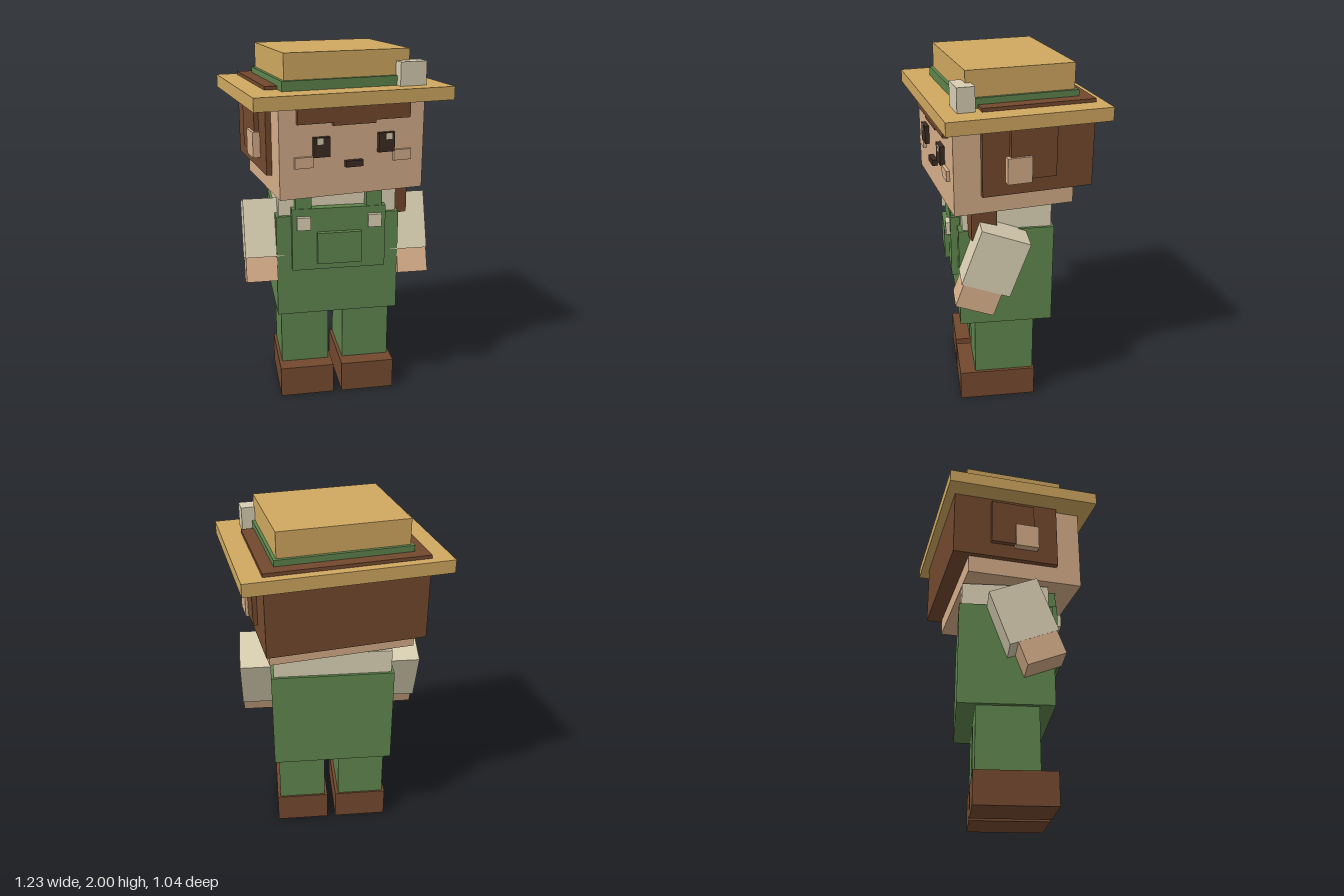
import * as THREE from 'three';

const mat = (name, color) => {
  const m = new THREE.MeshStandardMaterial({ color });
  m.name = name;
  return m;
};

export function createModel() {
  const straw = mat('straw', 0xd0a860);
  const green = mat('green cloth', 0x5e844d);
  const brown = mat('brown', 0x73492e);
  const skin = mat('skin', 0xd6ae8a);
  const cream = mat('cream cloth', 0xd8ceb1);
  const dark = mat('dark', 0x3d2c24);

  // Box given by its [min, max] range along each axis
  const box = (parent, name, material, [x0, x1], [y0, y1], [z0, z1]) => {
    const mesh = new THREE.Mesh(new THREE.BoxGeometry(x1 - x0, y1 - y0, z1 - z0), material);
    mesh.position.set((x0 + x1) / 2, (y0 + y1) / 2, (z0 + z1) / 2);
    mesh.name = name;
    parent.add(mesh);
    return mesh;
  };
  // Same box on both sides of x = 0
  const pair = (parent, name, material, [x0, x1], y, z) => {
    box(parent, name + 'Left', material, [x0, x1], y, z);
    box(parent, name + 'Right', material, [-x1, -x0], y, z);
  };

  const model = new THREE.Group();
  model.name = 'farmer';

  // Legs and shoes
  const legs = new THREE.Group();
  legs.name = 'legs';
  pair(legs, 'shoe', brown, [0.025, 0.335], [0, 0.18], [-0.17, 0.27]);
  pair(legs, 'trouserLeg', green, [0.043, 0.318], [0.18, 0.54], [-0.16, 0.18]);
  model.add(legs);

  // Torso with overalls
  const torso = new THREE.Group();
  torso.name = 'torso';
  box(torso, 'overalls', green, [-0.343, 0.343], [0.53, 1.115], [-0.26, 0.263]);
  box(torso, 'shirt', cream, [-0.328, 0.328], [1.1, 1.25], [-0.245, 0.242]);
  box(torso, 'bib', green, [-0.26, 0.26], [0.81, 1.165], [0.25, 0.3]);
  box(torso, 'pocket', green, [-0.123, 0.123], [0.85, 1.03], [0.295, 0.327]);
  pair(torso, 'strap', green, [0.152, 0.239], [1.1, 1.262], [0.235, 0.295]);
  pair(torso, 'button', cream, [0.16, 0.234], [1.05, 1.122], [0.295, 0.324]);
  model.add(torso);

  // Arms, swung forward
  for (const side of [1, -1]) {
    const arm = new THREE.Group();
    arm.name = side > 0 ? 'armLeft' : 'armRight';
    arm.position.set(side * 0.4275, 0.992, 0.077);
    arm.rotation.x = THREE.MathUtils.degToRad(-20);
    const inner = side * -0.127, outer = side * 0.0875;
    box(arm, 'sleeve', cream, [Math.min(inner, outer), Math.max(inner, outer)], [-0.163, 0.163], [-0.135, 0.14]);
    box(arm, 'hand', skin, [-0.0865, 0.0865], [-0.298, -0.15], [-0.088, 0.129]);
    model.add(arm);
  }

  // Head, turned slightly to its left
  const head = new THREE.Group();
  head.name = 'head';
  head.rotation.y = THREE.MathUtils.degToRad(10);
  box(head, 'face', skin, [-0.404, 0.404], [1.26, 1.78], [-0.29, 0.365]);
  box(head, 'hair', brown, [-0.434, 0.434], [1.36, 1.83], [-0.383, 0.221]);
  box(head, 'fringe', brown, [-0.312, 0.312], [1.655, 1.78], [0.34, 0.392]);
  box(head, 'fringeTip', brown, [-0.118, 0.118], [1.638, 1.7], [0.34, 0.389]);
  pair(head, 'sideHair', brown, [0.42, 0.459], [1.445, 1.71], [-0.171, 0.078]);
  pair(head, 'ear', skin, [0.42, 0.474], [1.43, 1.57], [-0.033, 0.099]);
  box(head, 'hairLock', brown, [0.224, 0.364], [1.087, 1.4], [0.124, 0.264]);
  pair(head, 'eye', dark, [0.136, 0.226], [1.478, 1.582], [0.355, 0.39]);
  pair(head, 'eyeHighlight', cream, [0.175, 0.209], [1.547, 1.579], [0.388, 0.396]);
  pair(head, 'cheek', skin, [0.226, 0.326], [1.425, 1.483], [0.355, 0.383]);
  box(head, 'mouth', dark, [-0.048, 0.048], [1.413, 1.447], [0.355, 0.393]);
  model.add(head);

  // Straw hat
  const hat = new THREE.Group();
  hat.name = 'hat';
  box(hat, 'brim', straw, [-0.546, 0.546], [1.74, 1.811], [-0.432, 0.432]);
  box(hat, 'band', green, [-0.365, 0.365], [1.8, 1.863], [-0.317, 0.3]);
  box(hat, 'crown', straw, [-0.348, 0.348], [1.8, 2.0], [-0.299, 0.281]);
  box(hat, 'hatTag', cream, [0.271, 0.421], [1.8, 1.938], [0.25, 0.343]);
  head.add(hat);

  return model;
}
